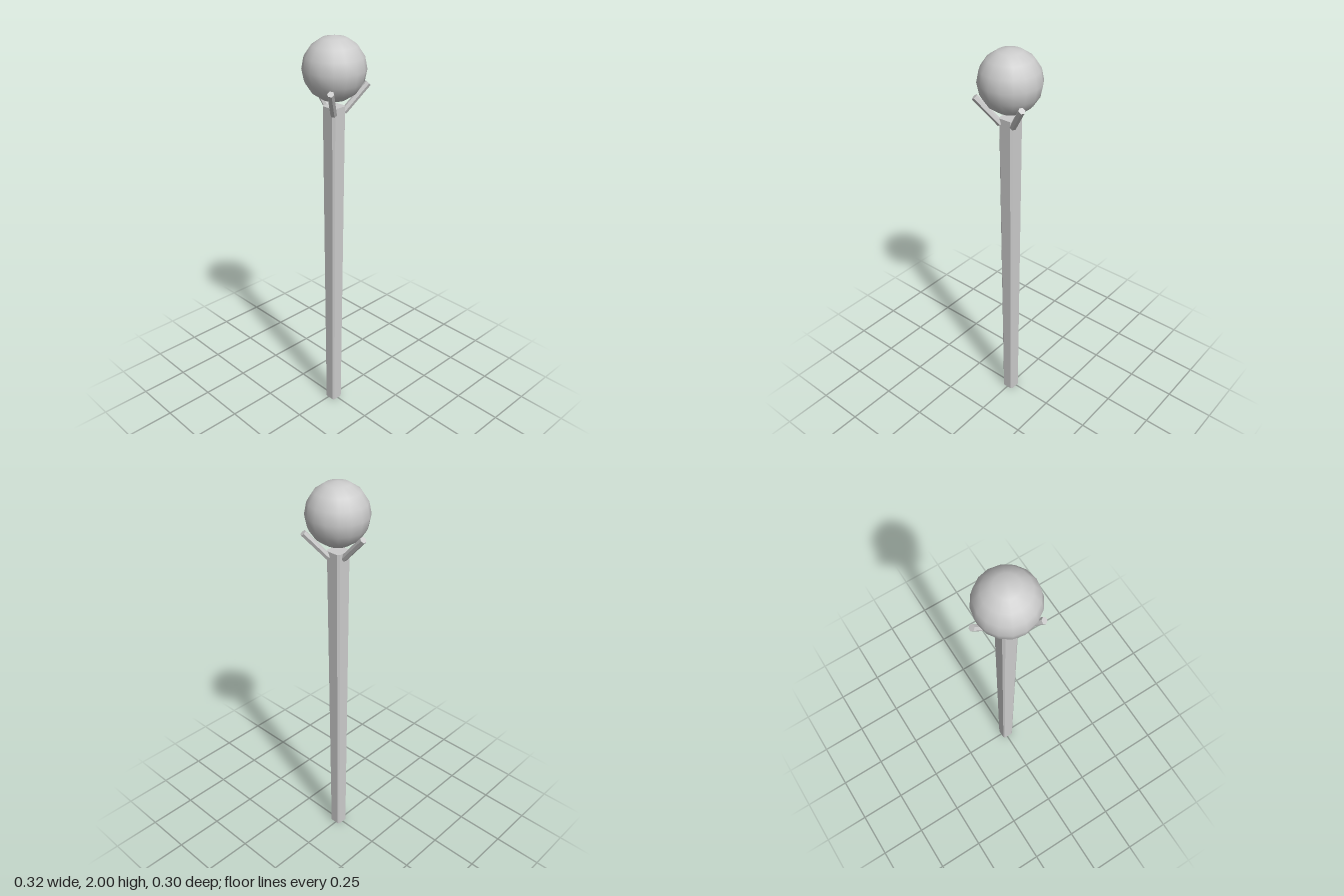
import * as THREE from 'three';

const AXIS_X = 0.008;

// Square outline with cut corners: half width w, cut c
function cutSquare(w, c) {
  const k = w - c;
  return [[w, -k], [w, k], [k, w], [-k, w], [-w, k], [-w, -k], [-k, -w], [k, -w]];
}

// Tapered shaft, lofted between two cut-corner squares and capped
function shaftGeometry(y0, w0, c0, y1, w1, c1) {
  const low = cutSquare(w0, c0).map(([x, z]) => [x, y0, z]);
  const high = cutSquare(w1, c1).map(([x, z]) => [x, y1, z]);
  const pos = [];
  for (let i = 0; i < 8; i++) {
    const j = (i + 1) % 8;
    pos.push(...low[i], ...high[j], ...low[j], ...low[i], ...high[i], ...high[j]);
    pos.push(0, y0, 0, ...low[i], ...low[j]);
    pos.push(0, y1, 0, ...high[j], ...high[i]);
  }
  const g = new THREE.BufferGeometry();
  g.setAttribute('position', new THREE.Float32BufferAttribute(pos, 3));
  g.computeVertexNormals();
  return g;
}

export function createModel() {
  const group = new THREE.Group();
  const smooth = new THREE.MeshStandardMaterial({ color: 0xcccccc });
  const flat = new THREE.MeshStandardMaterial({ color: 0xcccccc, flatShading: true });

  // Long shaft, slightly wider at the top
  const shaft = new THREE.Mesh(shaftGeometry(0, 0.032, 0.008, 1.68, 0.041, 0.01), flat);
  shaft.name = 'shaft';
  shaft.position.x = AXIS_X;
  group.add(shaft);

  // Orb floating between the prongs
  const orb = new THREE.Mesh(new THREE.SphereGeometry(0.148, 16, 8), smooth);
  orb.name = 'orb';
  orb.position.set(0.01, 1.852, 0);
  group.add(orb);

  // Three hexagonal prongs spreading from the top of the shaft
  const prongs = [
    [[-0.028, 1.652, -0.003], [-0.15, 1.78, -0.009]],
    [[0.035, 1.652, -0.036], [0.094, 1.78, -0.133]],
    [[0.04, 1.652, 0.033], [0.112, 1.78, 0.12]],
  ];
  const up = new THREE.Vector3(0, 1, 0);
  for (const [a, b] of prongs) {
    const start = new THREE.Vector3(...a), end = new THREE.Vector3(...b);
    const dir = end.clone().sub(start);
    const prong = new THREE.Mesh(new THREE.CylinderGeometry(0.016, 0.016, dir.length(), 6), flat);
    prong.name = 'prong';
    prong.position.copy(start).add(end).multiplyScalar(0.5);
    prong.quaternion.setFromUnitVectors(up, dir.normalize());
    group.add(prong);
  }
  return group;
}
